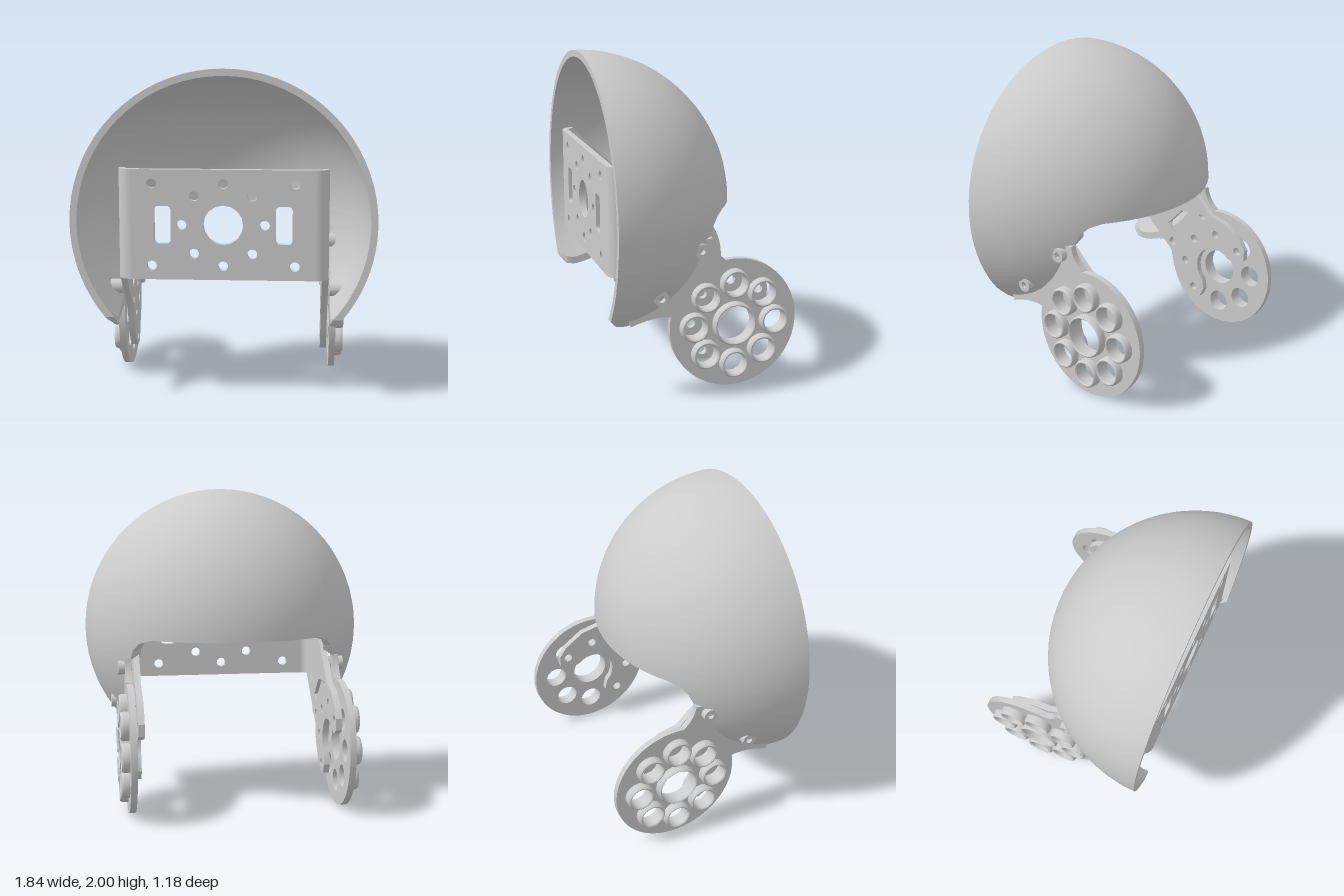
import * as THREE from 'three';
import { mergeGeometries, toCreasedNormals } from 'three/addons/utils/BufferGeometryUtils.js';

const material = new THREE.MeshStandardMaterial({ color: 0xcccccc });
const CY = 1.08, CZ = 0.59, R = 0.922, RI = 0.88;  // shell centre and radii
const HY = 0.405, HZ = -0.186;                     // hub centre (side plane)
const V = (x, y) => new THREE.Vector2(x, y);
const { lerp, smoothstep } = THREE.MathUtils;

function addMesh(parent, name, geometry) {
  const mesh = new THREE.Mesh(toCreasedNormals(geometry, 0.6), material);
  mesh.name = name;
  parent.add(mesh);
}

function circle(x, y, r, Type = THREE.Path) {
  const c = new Type();
  c.absarc(x, y, r, 0, Math.PI * 2, false);
  return c;
}

const extrude = (shape, depth, segments = 12) =>
  new THREE.ExtrudeGeometry(shape, { depth, bevelEnabled: false, curveSegments: segments });

// Extrude a (z, y) shape from x0 to x1, on either side of the model
function sideExtrude(shape, x0, x1, side, segments) {
  const g = extrude(shape, x1 - x0, segments);
  g.rotateY(-Math.PI / 2);
  g.translate(side > 0 ? x1 : -x0, 0, 0);
  return g;
}

function tube(z, y, outer, inner, x0, x1, side) {
  const s = circle(z, y, outer, THREE.Shape);
  s.holes.push(circle(z, y, inner));
  return sideExtrude(s, x0, x1, side);
}

// Raised ring with a softened lip, standing on the hub plate
function collar(z, y, outer, inner, side) {
  const profile = [V(outer, 0), V(outer, 0.035), V(outer - 0.003, 0.046), V(outer - 0.009, 0.052),
    V(inner + 0.006, 0.052), V(inner, 0.046), V(inner, -0.04)];
  const g = new THREE.LatheGeometry(profile, 28);
  g.rotateZ(-side * Math.PI / 2);
  g.translate(side * 0.69, y, z);
  return g;
}

// Radius of the lower cheek by angle: fillet under the rear edge, rounded front tip
const FILLET = R * Math.sin(55 * Math.PI / 180);
const cheekKeys = [[0, FILLET], [2, 0.7], [6, 0.664], [11, 0.65], [81, 0.65], [86, 0.632], [90, 0.58]];
function cheekRadius(a) {
  const i = Math.max(1, cheekKeys.findIndex(k => a <= k[0]));
  const [a0, r0] = cheekKeys[i - 1], [a1, r1] = cheekKeys[i];
  return lerp(r0, r1, (a - a0) / (a1 - a0));
}

// One quarter of the shell, swept around the x axis; up = 1 dome, up = -1 cheek
function shellPatch(side, up) {
  const N = up > 0 ? 18 : 11, ROWS = 45, W = 2 * (N + 1), pos = [], idx = [];
  for (let j = 0; j <= ROWS; j++) {
    const deg = j * 90 / ROWS, a = deg * Math.PI / 180;
    const tMax = Math.asin(up > 0 ? 1 : cheekRadius(deg) / R);
    for (let k = 0; k < W; k++) {
      const inner = k > N;
      let r = R * Math.sin((inner ? W - 1 - k : k) / N * tMax);
      if (inner) r *= up > 0 ? RI / R : lerp(RI / R, 1, smoothstep(deg, 0, 10));
      const drop = r * Math.sin(a);
      const outerX = Math.sqrt(Math.max(0, R * R - r * r));
      let x = outerX;
      if (inner) {
        x = Math.sqrt(Math.max(0, RI * RI - r * r));
        // the cheek is trimmed flat against the arm clearance plane
        if (up < 0) x = Math.max(x, Math.min(outerX, 0.65 * smoothstep(drop, 0, 0.13)));
      }
      pos.push(side * x, CY + up * drop, CZ - r * Math.cos(a));
    }
  }
  const tri = (a, b, c) => (side * up > 0 ? idx.push(a, b, c) : idx.push(a, c, b));
  for (let j = 0; j < ROWS; j++) {
    for (let k = 0; k < W - 1; k++) {
      const a = j * W + k, b = a + 1, d = a + W, c = d + 1;
      if (k < W - 2) tri(a, b, c);
      if (k > 0) tri(a, c, d);
    }
  }
  // cut faces at both ends of the sweep
  for (let k = 0; k < N; k++) {
    const o = ROWS * W + k, i = ROWS * W + W - 1 - k;
    tri(o, o + 1, i - 1);
    tri(o, i - 1, i);
    if (up > 0) {
      tri(k, W - 2 - k, k + 1);
      tri(k, W - 1 - k, W - 2 - k);
    }
  }
  const g = new THREE.BufferGeometry();
  g.setAttribute('position', new THREE.Float32BufferAttribute(pos, 3));
  g.setIndex(idx);
  return g;
}

// Hub disc with a neck that flows into the shell
function hubPlateShape() {
  const s = new THREE.Shape();
  const a0 = Math.atan2(0.81 - HY, -0.13 - HZ), a1 = Math.atan2(0.48 - HY, 0.215 - HZ);
  s.absarc(HZ, HY, 0.405, a0, a1 + Math.PI * 2, false);
  s.quadraticCurveTo(0.31, 0.5, 0.46, 0.443);
  for (let d = 79; d >= 13; d -= 6) {
    const a = d * Math.PI / 180;
    s.lineTo(CZ - 0.603 * Math.cos(a), CY - 0.603 * Math.sin(a));
  }
  s.lineTo(-0.05, 0.95);
  s.quadraticCurveTo(-0.06, 0.87, -0.13, 0.81);
  s.holes.push(circle(HZ, HY, 0.118));
  for (let i = 0; i < 8; i++) {
    const a = i * Math.PI / 4;
    s.holes.push(circle(HZ + 0.255 * Math.cos(a), HY + 0.255 * Math.sin(a), 0.07));
  }
  return s;
}

// Bracket arm in axes along (u) and across (v) its 45 degree slope
function armShape() {
  const uv = (u, v) => V(HZ + (u - v) * Math.SQRT1_2, HY + (u + v) * Math.SQRT1_2);
  const ear = [[0.3, 0.235], [0.2, 0.3], [0.05, 0.325], [-0.03, 0.31], [-0.08, 0.255], [-0.06, 0.19], [0, 0.15]];
  const pts = [V(0.49, 1.405), V(0.49, 0.735), ...ear.map(([u, v]) => uv(u, -v))];
  for (let i = 1; i < 12; i++) {
    const a = (i / 12 - 0.5) * Math.PI;
    pts.push(uv(0.15 * Math.cos(a), 0.15 * Math.sin(a)));
  }
  pts.push(...ear.slice().reverse().map(([u, v]) => uv(u, v)));
  const s = new THREE.Shape(pts);
  const cut = corners => s.holes.push(new THREE.Path(corners.map(([u, v]) => uv(u, v))));
  cut([[0.4, -0.13], [0.46, -0.13], [0.46, 0.13], [0.4, 0.13]]);
  cut([[0.57, 0.03], [0.87, 0.03], [1.0, 0.17], [0.57, 0.17]]);
  cut([[0.57, -0.17], [0.67, -0.17], [0.81, -0.03], [0.57, -0.03]]);
  for (const [u, v] of [[0.255, 0], [0.18, 0.18], [0.18, -0.18], [0, 0.255], [0, -0.255], [0.34, 0.18], [0.34, -0.18]]) {
    const p = uv(u, v);
    s.holes.push(circle(p.x, p.y, 0.028));
  }
  return s;
}

// Upright panel with its hole pattern
function panelShape() {
  const s = new THREE.Shape([V(-0.555, 0.735), V(0.555, 0.735), V(0.555, 1.405), V(-0.555, 1.405)]);
  s.holes.push(circle(0, 1.07, 0.12));
  for (const dy of [-1, 1]) {
    for (const x of [-0.43, 0, 0.43]) s.holes.push(circle(x, 1.07 + dy * 0.25, 0.03));
    for (const x of [-0.175, 0.175]) s.holes.push(circle(x, 1.07 + dy * 0.175, 0.03));
  }
  for (const side of [-1, 1]) {
    s.holes.push(circle(side * 0.25, 1.07, 0.03));
    // slot with rounded corners
    const slot = new THREE.Path();
    [[1, 1], [-1, 1], [-1, -1], [1, -1]].forEach(([sx, sy], i) =>
      slot.absarc(side * 0.365 + sx * 0.025, 1.07 + sy * 0.09, 0.025, i * Math.PI / 2, (i + 1) * Math.PI / 2, false));
    slot.closePath();
    s.holes.push(slot);
  }
  return s;
}

export function createModel() {
  const model = new THREE.Group();
  model.name = 'headShell';

  const patches = [];
  for (const side of [1, -1]) for (const up of [1, -1]) patches.push(shellPatch(side, up));
  addMesh(model, 'shell', mergeGeometries(patches));

  const bracket = new THREE.Group();
  bracket.name = 'bracket';
  model.add(bracket);
  const panel = extrude(panelShape(), 0.04, 8);
  panel.translate(0, 0, 0.53);
  addMesh(bracket, 'bracketPanel', panel);

  for (const side of [1, -1]) {
    const label = side > 0 ? 'left' : 'right';

    // rounded bend joining panel and arm
    const bend = new THREE.Shape();
    bend.absarc(0, 0, 0.08, 0, Math.PI / 2, false);
    bend.absarc(0, 0, 0.04, Math.PI / 2, 0, true);
    const bendGeo = extrude(bend, 0.67, 5);
    bendGeo.rotateX(-Math.PI / 2);
    bendGeo.rotateY(side > 0 ? -Math.PI / 2 : Math.PI);
    bendGeo.translate(side * 0.555, 0.735, 0.49);
    addMesh(bracket, label + 'Bend', bendGeo);
    addMesh(bracket, label + 'Arm', sideExtrude(armShape(), 0.595, 0.635, side));

    // hub plate with raised collars
    addMesh(model, label + 'HubPlate', sideExtrude(hubPlateShape(), 0.65, 0.69, side, 24));
    addMesh(model, label + 'CentreCollar', collar(HZ, HY, 0.135, 0.118, side));
    for (let i = 0; i < 8; i++) {
      const a = i * Math.PI / 4;
      addMesh(model, label + 'Collar' + (i + 1),
        collar(HZ + 0.255 * Math.cos(a), HY + 0.255 * Math.sin(a), 0.09, 0.07, side));
    }

    // screw bosses through the shell
    addMesh(model, label + 'UpperBoss', tube(0.03, 0.885, 0.045, 0.02, 0.645, 0.732, side));
    addMesh(model, label + 'LowerBoss', tube(0.29, 0.625, 0.045, 0.02, 0.645, 0.766, side));
  }
  return model;
}
